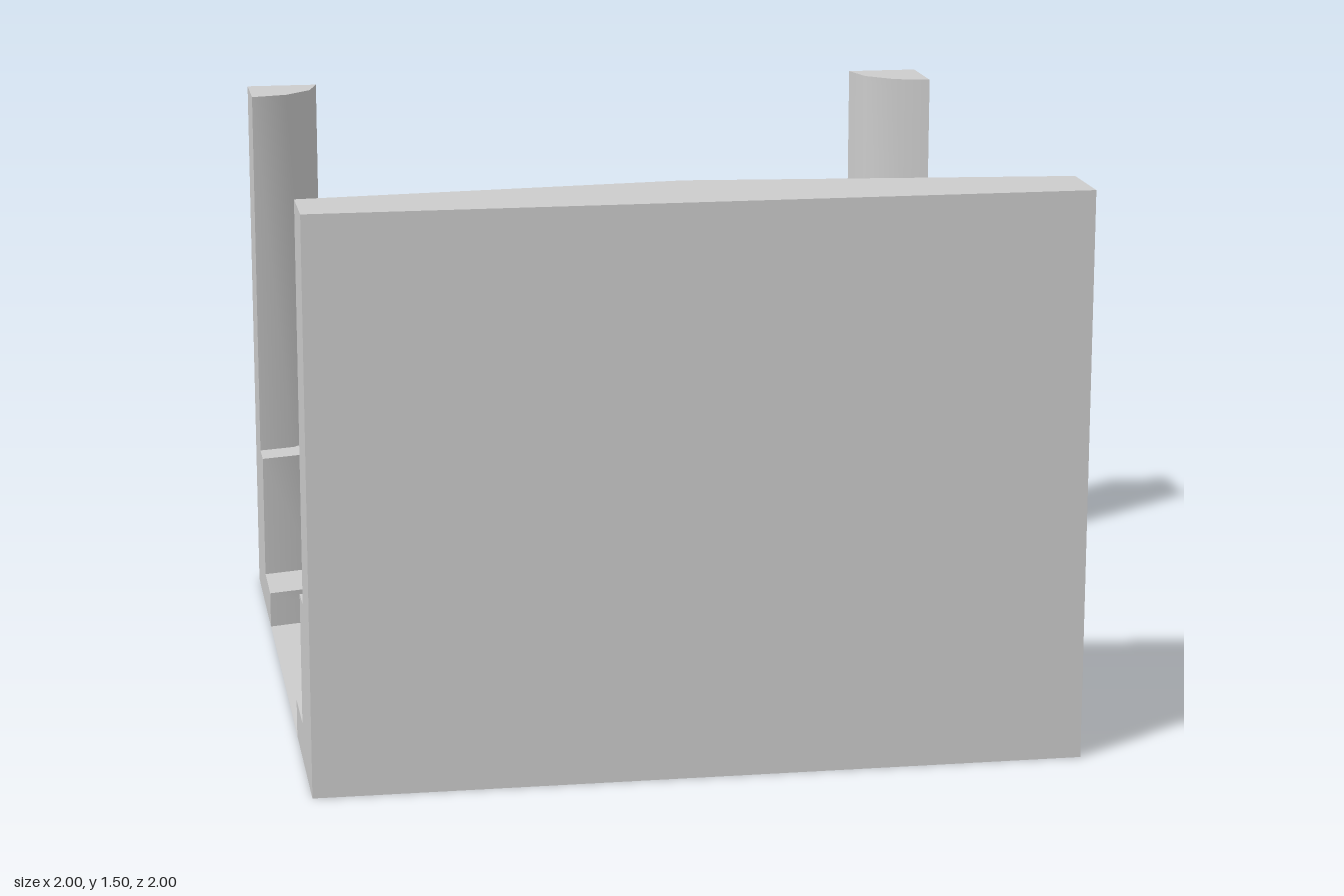
import * as THREE from 'three';
import { mergeVertices, toCreasedNormals } from 'three/addons/utils/BufferGeometryUtils.js';

const material = new THREE.MeshStandardMaterial({ color: 0xcccccc });
const floorMaterial = new THREE.MeshStandardMaterial({ color: 0xcccccc, side: THREE.DoubleSide });

function add(parent, name, geometry, mat = material) {
  const mesh = new THREE.Mesh(geometry, mat);
  mesh.name = name;
  parent.add(mesh);
  return mesh;
}

// Upright prism over a ground plan of [x, z] points
function prism(plan, y0, y1) {
  const shape = new THREE.Shape(plan.map(([x, z]) => new THREE.Vector2(x, -z)));
  const geo = new THREE.ExtrudeGeometry(shape, { depth: y1 - y0, bevelEnabled: false });
  geo.rotateX(-Math.PI / 2).translate(0, y0, 0);
  return toCreasedNormals(geo, 0.6);
}

// Low four-sided stone with softened shading
function stoneGeometry(size, height, taper) {
  const r = size / Math.SQRT2;
  const geo = new THREE.CylinderGeometry(r * taper, r, height, 4);
  geo.rotateY(Math.PI / 4).translate(0, height / 2, 0);
  geo.deleteAttribute('normal');
  geo.deleteAttribute('uv');
  const smooth = mergeVertices(geo);
  smooth.computeVertexNormals();
  return smooth;
}

// Rounded wall block, its face towards -z
function plaqueGeometry(w, h, r, depth) {
  const x = w / 2, y = h / 2;
  const s = new THREE.Shape();
  s.moveTo(-x + r, -y);
  s.absarc(x - r, -y + r, r, -Math.PI / 2, 0);
  s.absarc(x - r, y - r, r, 0, Math.PI / 2);
  s.absarc(-x + r, y - r, r, Math.PI / 2, Math.PI);
  s.absarc(-x + r, -y + r, r, Math.PI, Math.PI * 1.5);
  const geo = new THREE.ExtrudeGeometry(s, { depth: depth + 0.01, bevelEnabled: false, curveSegments: 5 });
  geo.translate(0, 0, -depth);
  return toCreasedNormals(geo, 0.6);
}

export function createModel() {
  const model = new THREE.Group();
  model.name = 'walledCourtyard';

  // Floor
  add(model, 'floor', new THREE.PlaneGeometry(2, 2).rotateX(-Math.PI / 2), floorMaterial);

  // Stepped wall, bent inwards at the middle
  const wall = new THREE.Group();
  wall.name = 'wall';
  model.add(wall);
  [['wallFoot', 0.4, 0, 0.1], ['wallStep', 0.6, 0.1, 0.45], ['wallUpper', 0.7, 0.45, 1.5]]
    .forEach(([name, z, y0, y1]) =>
      add(wall, name, prism([[-1, 1], [1, 1], [1, z + 0.1], [0, z], [-1, z + 0.1]], y0, y1)));

  // Raised blocks on the wall
  [[-0.67, 1.2], [0.36, 0.725], [0.72, 0.895]].forEach(([x, y]) => {
    const plaque = add(wall, 'wallBlock', plaqueGeometry(0.24, 0.15, 0.04, 0.025));
    plaque.position.set(x, y, 0.7 + 0.1 * Math.abs(x));
    plaque.rotation.y = -Math.sign(x) * Math.atan(0.1);
  });

  // Stepped quarter-round pillars in the two rear corners
  for (const side of [-1, 1]) {
    const pillar = new THREE.Group();
    pillar.name = side > 0 ? 'leftPillar' : 'rightPillar';
    model.add(pillar);
    [['pillarFoot', 0.5, 0, 0.1], ['pillarStep', 0.3, 0.1, 0.45], ['pillarShaft', 0.2, 0.45, 1.5]]
      .forEach(([name, r, y0, y1]) => {
        const plan = [[side, -1]];
        for (let i = 0; i <= 3; i++) {
          const a = i * Math.PI / 6;
          plan.push([side * (1 - r * Math.cos(a)), -1 + r * Math.sin(a)]);
        }
        add(pillar, name, prism(plan, y0, y1));
      });
  }

  // Loose stones: x, z, size, height, taper, turn in degrees
  [
    [-0.845, 0.233, 0.2, 0.05, 0.75, -15],
    [-0.59, 0.25, 0.1, 0.05, 0.8, 15],
    [0.37, 0.17, 0.2, 0.025, 0.78, 15],
    [0.76, 0.245, 0.2, 0.025, 0.78, 45],
    [0.58, 0.05, 0.1, 0.05, 0.8, 0],
  ].forEach(([x, z, size, height, taper, turn]) => {
    const stone = add(model, 'stone', stoneGeometry(size, height, taper));
    stone.position.set(x, 0, z);
    stone.rotation.y = THREE.MathUtils.degToRad(turn);
  });

  return model;
}
